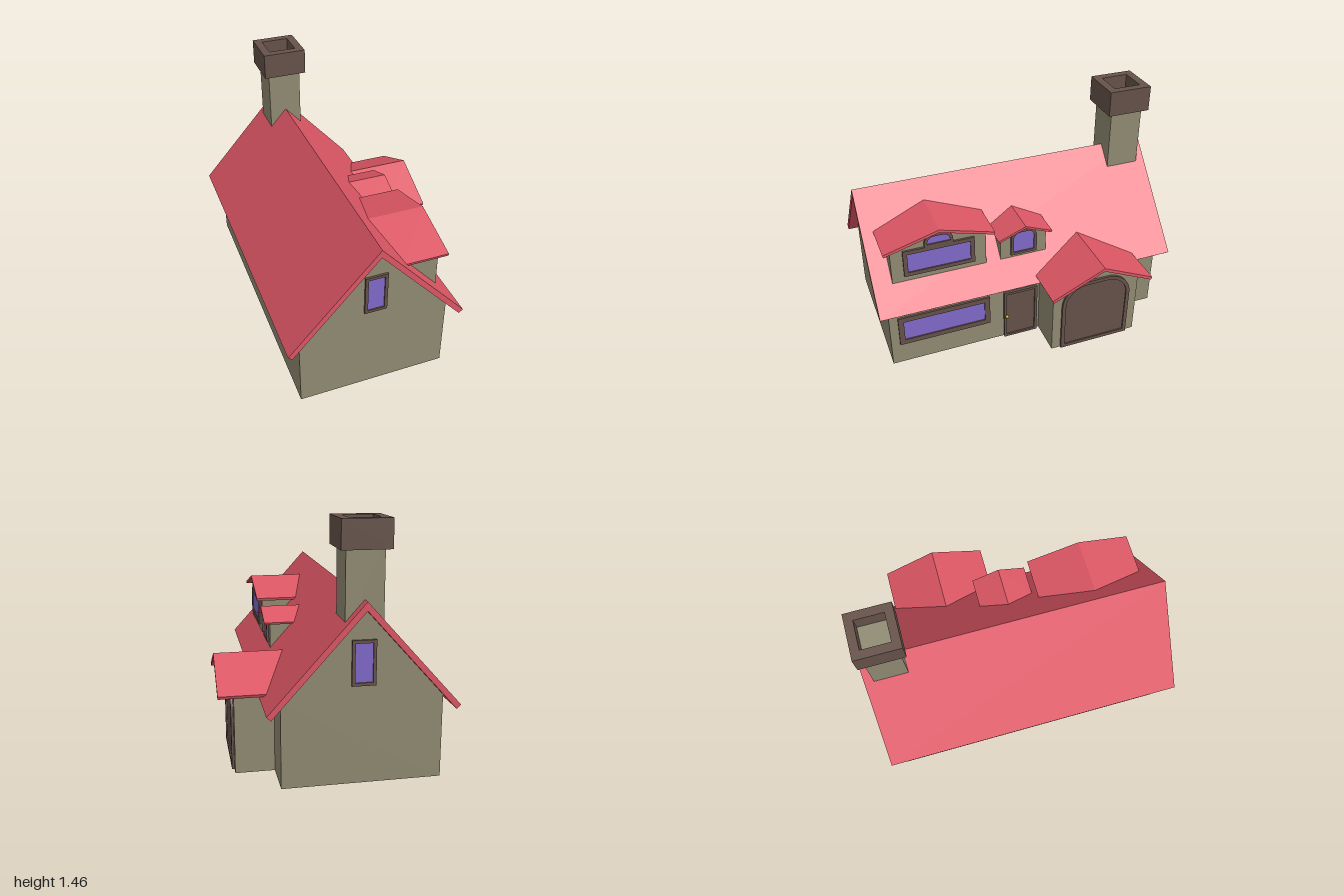
import * as THREE from 'three';

const mat = (color) => new THREE.MeshStandardMaterial({ color, flatShading: true });
const WALL = mat(0x918b72), ROOF = mat(0xdc5664), BROWN = mat(0x66524a);
const GLASS = mat(0x806acb), GOLD = mat(0xc9a227);

// Main roof: ridge height and slope, also used to trim the smaller roofs
const RIDGE = 1.035, EAVE = 0.44, ROOF_HALF = 0.536;
const SLOPE = (RIDGE - EAVE) / ROOF_HALF;
const roofAt = (y) => (RIDGE - y) / SLOPE;

function add(parent, name, geometry, material, x = 0, y = 0, z = 0) {
  const mesh = new THREE.Mesh(geometry, material);
  mesh.name = name;
  mesh.position.set(x, y, z);
  parent.add(mesh);
  return mesh;
}

function group(parent, name, x = 0, y = 0, z = 0, turn = 0) {
  const g = new THREE.Group();
  g.name = name;
  g.position.set(x, y, z);
  g.rotation.y = turn;
  parent.add(g);
  return g;
}

function extrude(shape, z0, z1) {
  const geo = new THREE.ExtrudeGeometry(shape, { depth: z1 - z0, bevelEnabled: false, curveSegments: 8 });
  return geo.translate(0, 0, z0);
}

const polygon = (pts) => new THREE.Shape(pts.map(([x, y]) => new THREE.Vector2(x, y)));

// Five-sided gable wall section
function gableShape(half, base, apex, slope) {
  const side = apex - half * slope;
  return polygon([[-half, base], [half, base], [half, side], [0, apex], [-half, side]]);
}

// Folded roof section of even thickness, cut square at the eaves
function roofShape(half, eave, apex, t) {
  const a = Math.atan2(apex - eave, half);
  const ix = half - t * Math.sin(a), iy = eave - t * Math.cos(a);
  return polygon([[half, eave], [0, apex], [-half, eave], [-ix, iy], [0, apex - t / Math.cos(a)], [ix, iy]]);
}

// Rectangle standing on y, with its top corners rounded by r
function archShape(w, h, r, y = 0, Type = THREE.Shape) {
  const s = new Type(), x = w / 2, top = y + h;
  s.moveTo(-x, y).lineTo(x, y);
  if (r > 0) {
    s.lineTo(x, top - r).absarc(x - r, top - r, r, 0, Math.PI / 2, false);
    s.lineTo(-x + r, top).absarc(-x + r, top - r, r, Math.PI / 2, Math.PI, false);
  } else s.lineTo(x, top).lineTo(-x, top);
  s.closePath();
  return s;
}

// Raised frame around a set-back panel (window or door), facing +z
function framed(parent, name, { w, h, border, y, z, r = 0, x = 0, fill = GLASS, out = 0.013 }) {
  const g = group(parent, name, x, y, z);
  const inner = [w - 2 * border, h - 2 * border, Math.max(0, r - border), border];
  const frame = archShape(w, h, r);
  frame.holes.push(archShape(...inner, THREE.Path));
  add(g, 'frame', extrude(frame, -0.01, out), BROWN);
  add(g, 'panel', extrude(archShape(...inner), -0.01, out * 0.4), fill);
  return g;
}

// Gabled projection from the right side, trimmed against the main roof slope
function wing(parent, name, { at, half, base, face, back, roofHalf, eave, apex, roofFront, t }) {
  const g = group(parent, name, 0, 0, at, Math.PI / 2);
  const slope = (apex - eave) / roofHalf;
  add(g, 'walls', extrude(gableShape(half, base, apex - t * 0.8, slope), back, face), WALL);
  const geo = extrude(roofShape(roofHalf, eave, apex, t), 0, roofFront);
  const p = geo.attributes.position;
  for (let i = 0; i < p.count; i++) {
    if (p.getZ(i) < 0.001) p.setZ(i, roofAt(p.getY(i)) - 0.01);
  }
  geo.computeVertexNormals();
  add(g, 'roof', geo, ROOF);
  return g;
}

export function createModel() {
  const model = new THREE.Group();
  model.name = 'house';
  // The whole house stands slightly turned
  const house = group(model, 'building', -0.11, 0, 0, -0.057);

  // Main body and roof
  add(house, 'mainWalls', extrude(gableShape(0.453, 0, 0.997, SLOPE), -0.905, 0.905), WALL);
  add(house, 'mainRoof', extrude(roofShape(ROOF_HALF, EAVE, RIDGE, 0.033), -0.966, 0.966), ROOF);

  // Gable windows at both ends
  for (const [name, turn] of [['frontGable', 0], ['backGable', Math.PI]]) {
    const end = group(house, name, 0, 0, 0, turn);
    framed(end, 'gableWindow', { w: 0.135, h: 0.254, border: 0.018, y: 0.564, z: 0.905 });
  }

  // Ground floor window and entrance door on the right side
  const side = group(house, 'rightSide', 0, 0, 0, Math.PI / 2);
  framed(side, 'longWindow', { w: 0.588, h: 0.208, border: 0.034, x: -0.557, y: 0.15, z: 0.453 });
  const door = framed(side, 'entranceDoor', {
    w: 0.225, h: 0.362, border: 0.017, x: -0.055, y: 0, z: 0.453, fill: BROWN, out: 0.017,
  });
  const stem = new THREE.CylinderGeometry(0.005, 0.005, 0.02, 8).rotateX(Math.PI / 2);
  add(door, 'knobStem', stem, GOLD, -0.1, 0.178, 0.02);
  add(door, 'knob', new THREE.SphereGeometry(0.012, 10, 8), GOLD, -0.1, 0.178, 0.03);

  // Garage
  const garage = wing(house, 'garage', {
    at: -0.367, half: 0.291, base: 0, face: 0.68, back: 0.38,
    roofHalf: 0.338, eave: 0.478, apex: 0.635, roofFront: 0.771, t: 0.02,
  });
  framed(garage, 'garageDoor', {
    w: 0.465, h: 0.495, border: 0.024, r: 0.165, y: 0, z: 0.68, fill: BROWN, out: 0.014,
  });

  // Large dormer
  const large = wing(house, 'largeDormer', {
    at: 0.555, half: 0.294, base: 0.586, face: 0.403, back: 0.13,
    roofHalf: 0.341, eave: 0.832, apex: 0.929, roofFront: 0.443, t: 0.018,
  });
  framed(large, 'wideWindow', { w: 0.44, h: 0.181, border: 0.026, y: 0.626, z: 0.403 });
  framed(large, 'archedWindow', { w: 0.176, h: 0.086, border: 0.018, r: 0.06, y: 0.805, z: 0.403 });

  // Small dormer
  const small = wing(house, 'smallDormer', {
    at: 0.017, half: 0.15, base: 0.586, face: 0.403, back: 0.23,
    roofHalf: 0.176, eave: 0.752, apex: 0.822, roofFront: 0.442, t: 0.014,
  });
  framed(small, 'archedWindow', { w: 0.17, h: 0.178, border: 0.018, r: 0.06, y: 0.608, z: 0.403 });

  // Chimney with hollow cap
  const chimney = group(house, 'chimney', 0, 0, -0.8);
  add(chimney, 'stack', new THREE.BoxGeometry(0.213, 0.5, 0.213), WALL, 0, 1.1, 0);
  const cap = archShape(0.278, 0.278, 0, -0.139);
  cap.holes.push(archShape(0.175, 0.175, 0, -0.0875, THREE.Path));
  add(chimney, 'cap', extrude(cap, 0, 0.162).rotateX(-Math.PI / 2), BROWN, 0, 1.3, 0);

  return model;
}
